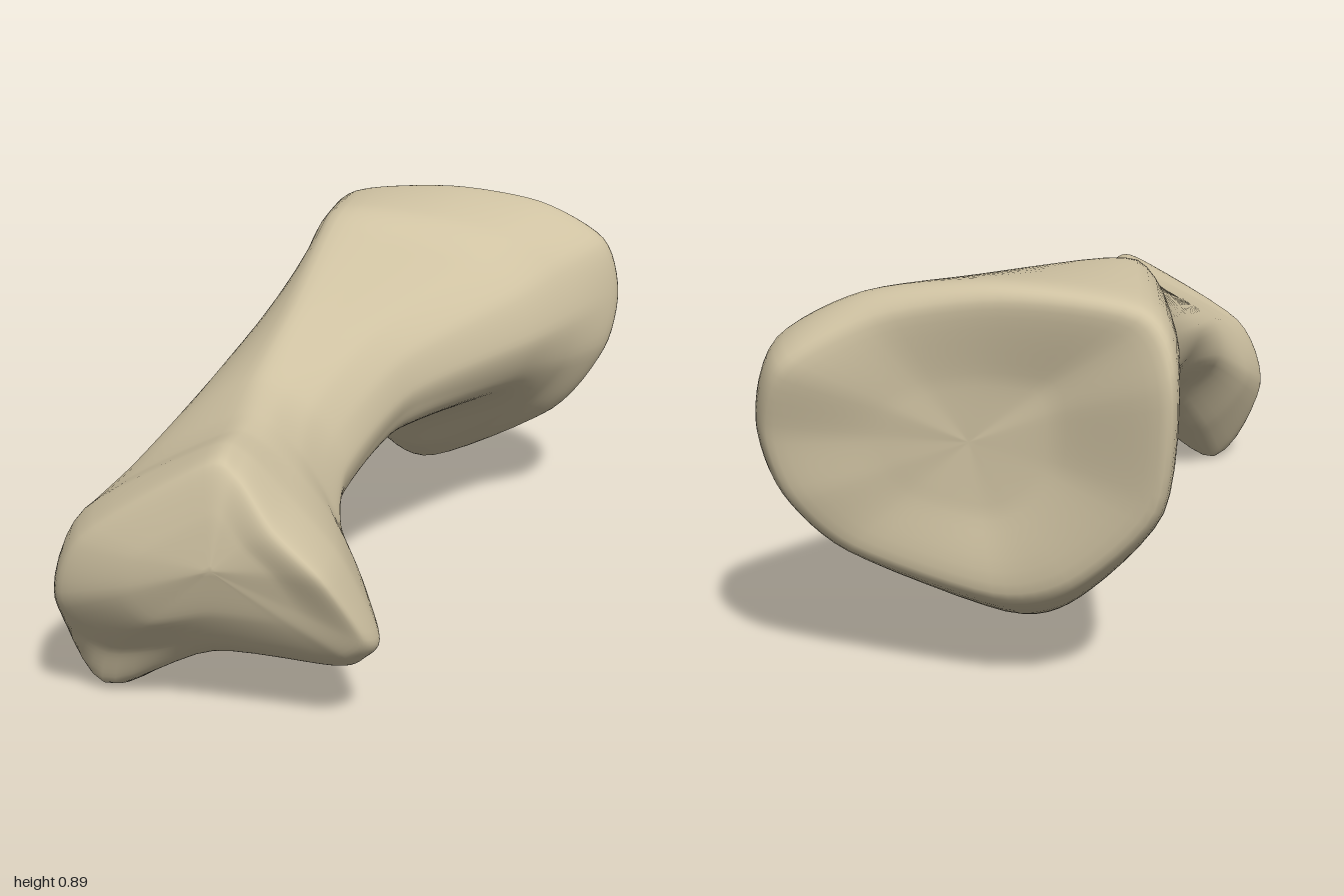
import * as THREE from 'three';
import { mergeVertices } from 'three/addons/utils/BufferGeometryUtils.js';

// Cross-sections from back to front, each listed from the top ridge round the +x side
const rimOutline = [[-.17, .86], [.12, .885], [.38, .85], [.56, .75], [.607, .6], [.575, .44], [.43, .262], [.09, .11], [-.06, .165], [-.23, .41], [-.25, .75]];
const flare = [[-.18, .86], [.08, .845], [.3, .79], [.43, .7], [.485, .56], [.46, .43], [.35, .31], [.08, .175], [-.08, .235], [-.23, .45], [-.265, .7]];
const upperShaft = [[-.19, .825], [0, .795], [.2, .74], [.33, .66], [.38, .54], [.35, .45], [.28, .385], [.05, .305], [-.1, .33], [-.22, .46], [-.275, .66]];
const midShaft = [[-.21, .71], [-.1, .69], [0, .65], [.07, .58], [.095, .5], [.085, .45], [.055, .397], [-.06, .345], [-.2, .36], [-.32, .45], [-.365, .57]];
const lowerShaft = [[-.25, .603], [-.17, .598], [-.1, .55], [-.05, .48], [-.02, .41], [-.025, .36], [-.05, .32], [-.16, .28], [-.32, .29], [-.45, .38], [-.43, .5]];
const neck = [[-.25, .573], [-.17, .568], [-.1, .5], [-.05, .42], [-.01, .33], [-.02, .27], [-.06, .22], [-.2, .2], [-.42, .12], [-.555, .28], [-.48, .45]];
const lobes = [[-.25, .567], [-.17, .56], [-.08, .48], [0, .37], [.06, .23], [.04, .17], [0, .135], [-.25, .13], [-.47, 0], [-.605, .22], [-.53, .41]];
const headOutline = [[-.25, .575], [-.17, .567], [-.08, .48], [.03, .36], [.11, .2], [.085, .15], [.02, .12], [-.25, .12], [-.51, .015], [-.607, .22], [-.54, .405]];

// Crests of the back rim and of the front head, as x, y, z
const backCrest = [[-.16, .825, -.95], [.1, .85, -.895], [.35, .81, -.865], [.535, .715, -.885], [.58, .57, -.855], [.54, .43, -.845], [.42, .31, -.83], [.12, .22, -.88], [-.04, .27, -.93], [-.2, .45, -.985], [-.22, .7, -1]];
const frontCrest = [[-.24, .562, .91], [-.17, .545, .925], [-.09, .455, .975], [.01, .36, .99], [.08, .22, .945], [.05, .175, .93], [0, .16, .915], [-.24, .165, .88], [-.48, .11, .82], [-.57, .24, .87], [-.51, .39, .885]];

// Section at one depth, or at a depth given by a rule of x and y
const section = (pts, depth) => pts.map(([x, y]) => new THREE.Vector3(x, y, depth(x, y)));
const level = (pts, z) => section(pts, () => z);

// Crest drawn in towards a centre point, with its own rates across and in depth
const drawnIn = (crest, centre, across, deep) => crest.map(([x, y, z]) => new THREE.Vector3(
  THREE.MathUtils.lerp(x, centre[0], across),
  THREE.MathUtils.lerp(y, centre[1], across),
  THREE.MathUtils.lerp(z, centre[2], deep)));

const curve = (pts, closed, tension) => new THREE.CatmullRomCurve3(pts, closed, 'catmullrom', tension);

// Smooth skin through the sections: curves along the length, then closed curves round each ring
function loft(sections, along, around) {
  const rails = sections[0].map((_, k) => curve(sections.map(s => s[k]), false, .35));
  const positions = [], index = [];
  for (let i = 0; i <= along; i++) {
    const ring = curve(rails.map(r => r.getPoint(i / along)), true, .4);
    for (let j = 0; j < around; j++) positions.push(...ring.getPoint(j / around).toArray());
  }
  for (let i = 0; i < along; i++) {
    for (let j = 0; j < around; j++) {
      const a = i * around + j, d = i * around + (j + 1) % around;
      const b = a + around, c = d + around;
      index.push(a, b, d, b, c, d);
    }
  }
  const geometry = new THREE.BufferGeometry();
  geometry.setAttribute('position', new THREE.Float32BufferAttribute(positions, 3));
  geometry.setIndex(index);
  const merged = mergeVertices(geometry, 1e-4);
  merged.computeVertexNormals();
  return merged;
}

export function createModel() {
  const boneMaterial = new THREE.MeshStandardMaterial({ color: 0xcfc2a2 });
  boneMaterial.name = 'bone';

  const socket = [.17, .55, -.85], knuckle = [-.22, .36, .97];
  const sections = [
    // Shallow dished back end and its rounded rim
    drawnIn(backCrest, socket, 1, 1), drawnIn(backCrest, socket, .55, .75), drawnIn(backCrest, socket, 0, 0),
    section(rimOutline, (x, y) => -.79 + .17 * (x - .17) - .3 * Math.min(y - .5, .1)),
    // Tapering shaft
    level(flare, -.55), level(upperShaft, -.38), level(midShaft, .05), level(lowerShaft, .4), level(neck, .58),
    // Lobed front head and its rounded cap
    level(lobes, .7), section(headOutline, x => .82 + .15 * (x + .22)),
    drawnIn(frontCrest, knuckle, 0, 0), drawnIn(frontCrest, knuckle, .45, .65), drawnIn(frontCrest, knuckle, 1, 1),
  ];

  const bone = new THREE.Mesh(loft(sections, 104, 66), boneMaterial);
  bone.name = 'longBone';

  const group = new THREE.Group();
  group.name = 'bone';
  group.add(bone);
  return group;
}
